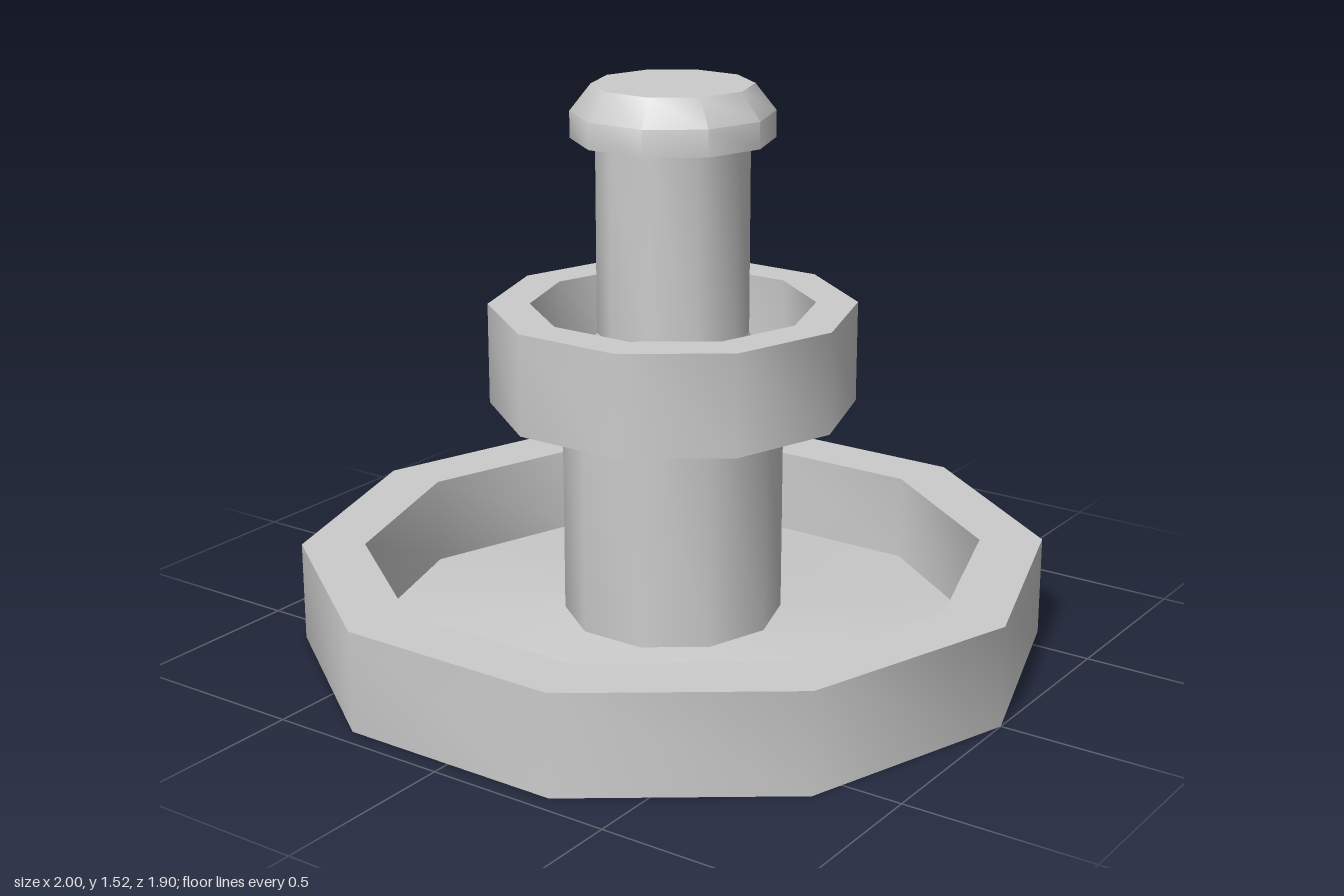
import * as THREE from 'three';
import { toCreasedNormals } from 'three/addons/utils/BufferGeometryUtils.js';

const SIDES = 10;
const material = new THREE.MeshStandardMaterial({ color: 0xcccccc, side: THREE.DoubleSide });

// Ten-sided turned part from a [radius, height] profile, with a corner on the x axis
function turned(name, profile) {
  const points = profile.map(([r, y]) => new THREE.Vector2(r, y));
  const lathe = new THREE.LatheGeometry(points, SIDES, Math.PI / 2);
  const mesh = new THREE.Mesh(toCreasedNormals(lathe, 0.8), material);
  mesh.name = name;
  return mesh;
}

export function createModel() {
  const fountain = new THREE.Group();
  fountain.name = 'fountain';
  fountain.add(
    // Wide basin: open underneath, floor rising towards the column
    turned('lowerBasin', [[1, 0], [1, 0.27], [0.83, 0.27], [0.83, 0.03], [0.29, 0.085]]),
    turned('lowerColumn', [[0.293, 0.085], [0.293, 0.73]]),
    // Small bowl whose floor sweeps up into the upper column
    turned('upperBowl', [
      [0.485, 0.67], [0.485, 0.94], [0.375, 0.94], [0.375, 0.7],
      [0.293, 0.73], [0.25, 0.77], [0.2, 0.86],
    ]),
    turned('upperColumn', [[0.2, 0.86], [0.2, 1.38]]),
    // Bevelled cap
    turned('cap', [[0.2, 1.38], [0.265, 1.38], [0.265, 1.45], [0.21, 1.52], [0, 1.52]]),
  );
  return fountain;
}
